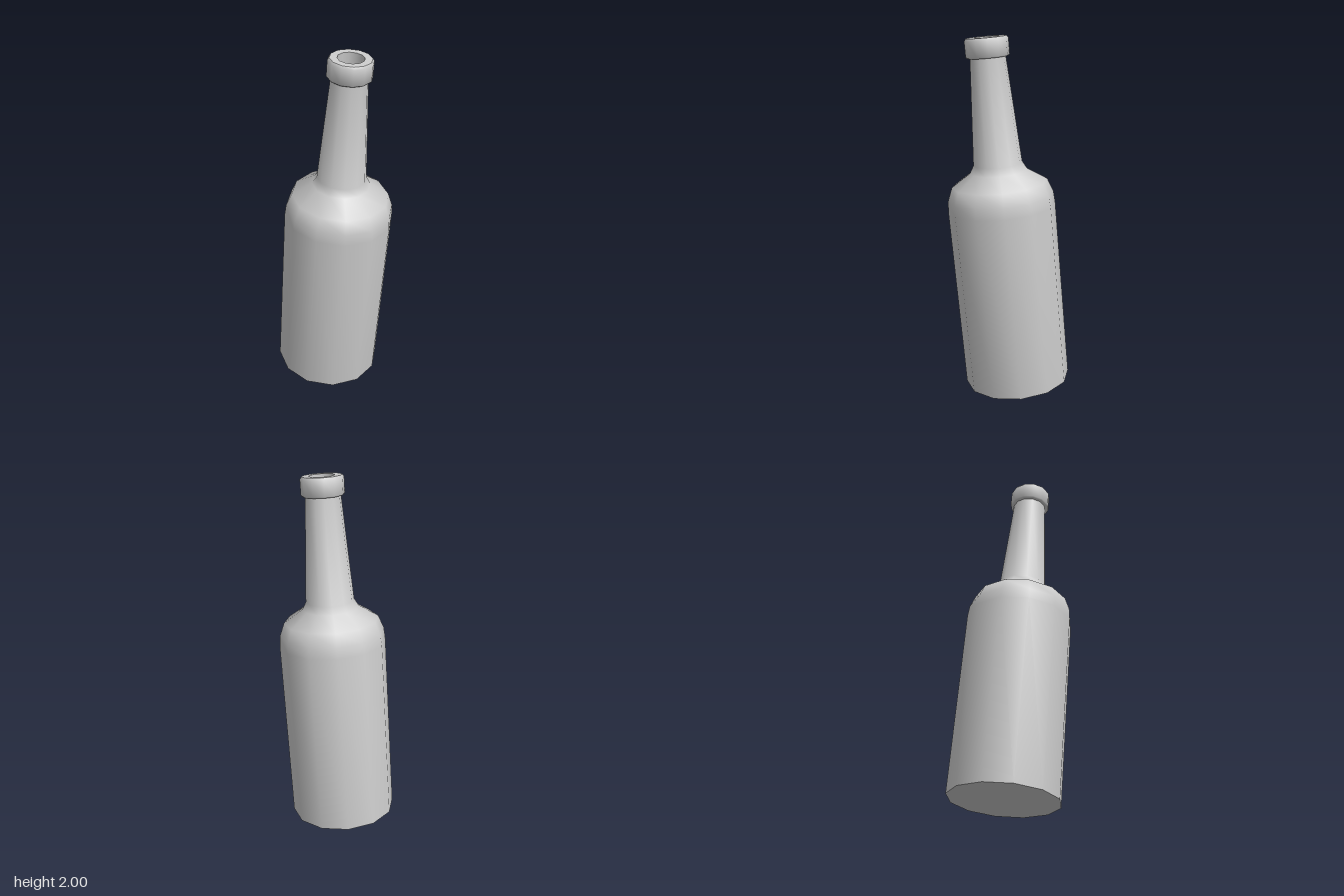
import * as THREE from 'three';
import { toCreasedNormals } from 'three/addons/utils/BufferGeometryUtils.js';

const SIDES = 12;
const TILT = THREE.MathUtils.degToRad(6);
const BASE_RADIUS = 0.3;

// Turned part from [radius, height] pairs, smooth around with sharp rims
function turned(name, profile, material) {
  const points = profile.map(([r, y]) => new THREE.Vector2(r, y));
  const geometry = toCreasedNormals(new THREE.LatheGeometry(points, SIDES), 0.95);
  const mesh = new THREE.Mesh(geometry, material);
  mesh.name = name;
  return mesh;
}

export function createModel() {
  const model = new THREE.Group();
  model.name = 'bottle';
  const glass = new THREE.MeshStandardMaterial({ color: 0xcccccc });

  // Flat base, straight body, rounded shoulder, tapering neck
  model.add(turned('bodyAndNeck', [
    [0, 0], [BASE_RADIUS, 0], [BASE_RADIUS, 1.04], [0.294, 1.1],
    [0.266, 1.173], [0.158, 1.243], [0.135, 1.285], [0.096, 1.865],
  ], glass));

  // Bevelled lip ring and the hollow of the neck
  model.add(turned('lipAndMouth', [
    [0.09, 1.863], [0.112, 1.863], [0.118, 1.87], [0.118, 1.955],
    [0.109, 1.968], [0.07, 1.968], [0.07, 1.25], [0, 1.25],
  ], glass));

  // Lean forward, resting on the front edge of the base
  model.rotation.x = TILT;
  model.position.set(0, BASE_RADIUS * Math.sin(TILT), -0.053);

  const root = new THREE.Group();
  root.name = 'leaningBottle';
  root.add(model);
  return root;
}
